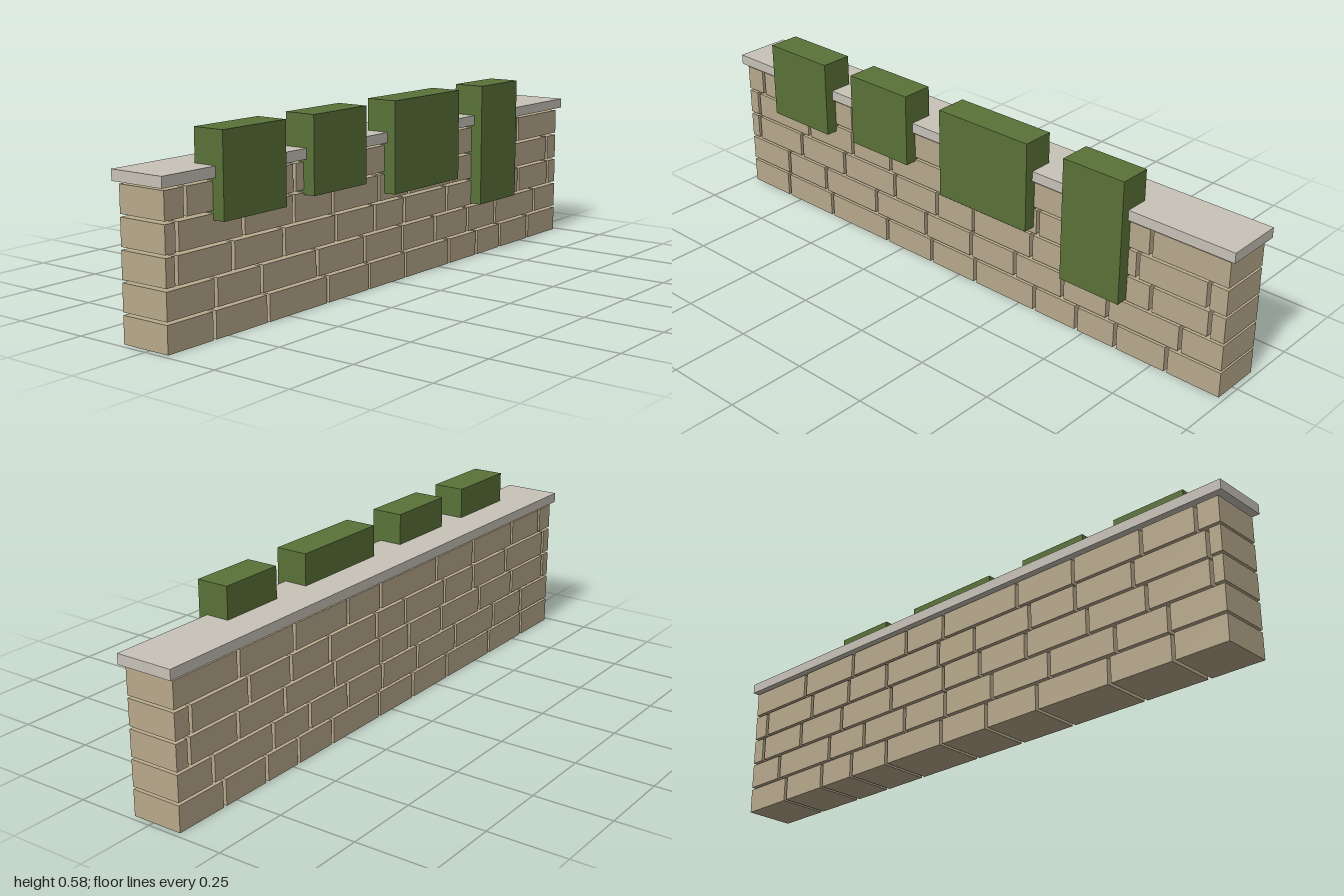
import * as THREE from 'three';

const stone = new THREE.MeshStandardMaterial({ color: 0xb8a98c });
stone.name = 'sandstone';
const capStone = new THREE.MeshStandardMaterial({ color: 0xc8c3b8 });
capStone.name = 'pale capstone';
const leaf = new THREE.MeshStandardMaterial({ color: 0x5a7238 });
leaf.name = 'ivy green';

// Box given by its minimum and maximum on each axis
function block(name, material, [x0, x1], [y0, y1], [z0, z1]) {
  const mesh = new THREE.Mesh(new THREE.BoxGeometry(x1 - x0, y1 - y0, z1 - z0), material);
  mesh.position.set((x0 + x1) / 2, (y0 + y1) / 2, (z0 + z1) / 2);
  mesh.name = name;
  return mesh;
}

// Centres of the vertical joints in each course, bottom to top
const courses = [
  [-0.805, -0.586, -0.321, -0.12, 0.067, 0.31, 0.473, 0.618, 0.8],
  [-0.797, -0.612, -0.369, -0.144, 0.051, 0.23, 0.417, 0.586, 0.842],
  [-0.944, -0.727, -0.516, -0.281, -0.094, 0.06, 0.294, 0.53, 0.735, 0.933],
  [-0.939, -0.684, -0.473, -0.297, -0.072, 0.083, 0.318, 0.5, 0.684, 0.922],
  [-0.906, -0.718, -0.468, -0.247, 0.063, 0.23, 0.483, 0.725],
];
const HALF_LENGTH = 0.983, GAP = 0.012, COURSE = 0.0893, STONE_HEIGHT = 0.081;

// Ivy clumps: left edge, right edge, lower edge
const clumps = [
  [-0.802, -0.548, 0.331],
  [-0.428, -0.185, 0.343],
  [-0.043, 0.302, 0.289],
  [0.436, 0.65, 0.182],
];

export function createModel() {
  const model = new THREE.Group();
  model.name = 'gardenWall';

  // Stone courses with open joints
  courses.forEach((joints, row) => {
    const course = new THREE.Group();
    course.name = `stoneCourse${row + 1}`;
    const edges = [-HALF_LENGTH - GAP / 2, ...joints, HALF_LENGTH + GAP / 2];
    const y = row * COURSE;
    for (let i = 0; i < edges.length - 1; i++) {
      course.add(block('wallStone', stone,
        [edges[i] + GAP / 2, edges[i + 1] - GAP / 2], [y, y + STONE_HEIGHT], [-0.097, 0.068]));
    }
    model.add(course);
  });

  // Overhanging coping slab
  model.add(block('copingSlab', capStone, [-1, 1], [0.447, 0.479], [-0.107, 0.079]));

  // Ivy hanging over the front
  for (const [x0, x1, y0] of clumps) {
    model.add(block('ivyClump', leaf, [x0, x1], [y0, 0.578], [0.003, 0.107]));
  }
  return model;
}
